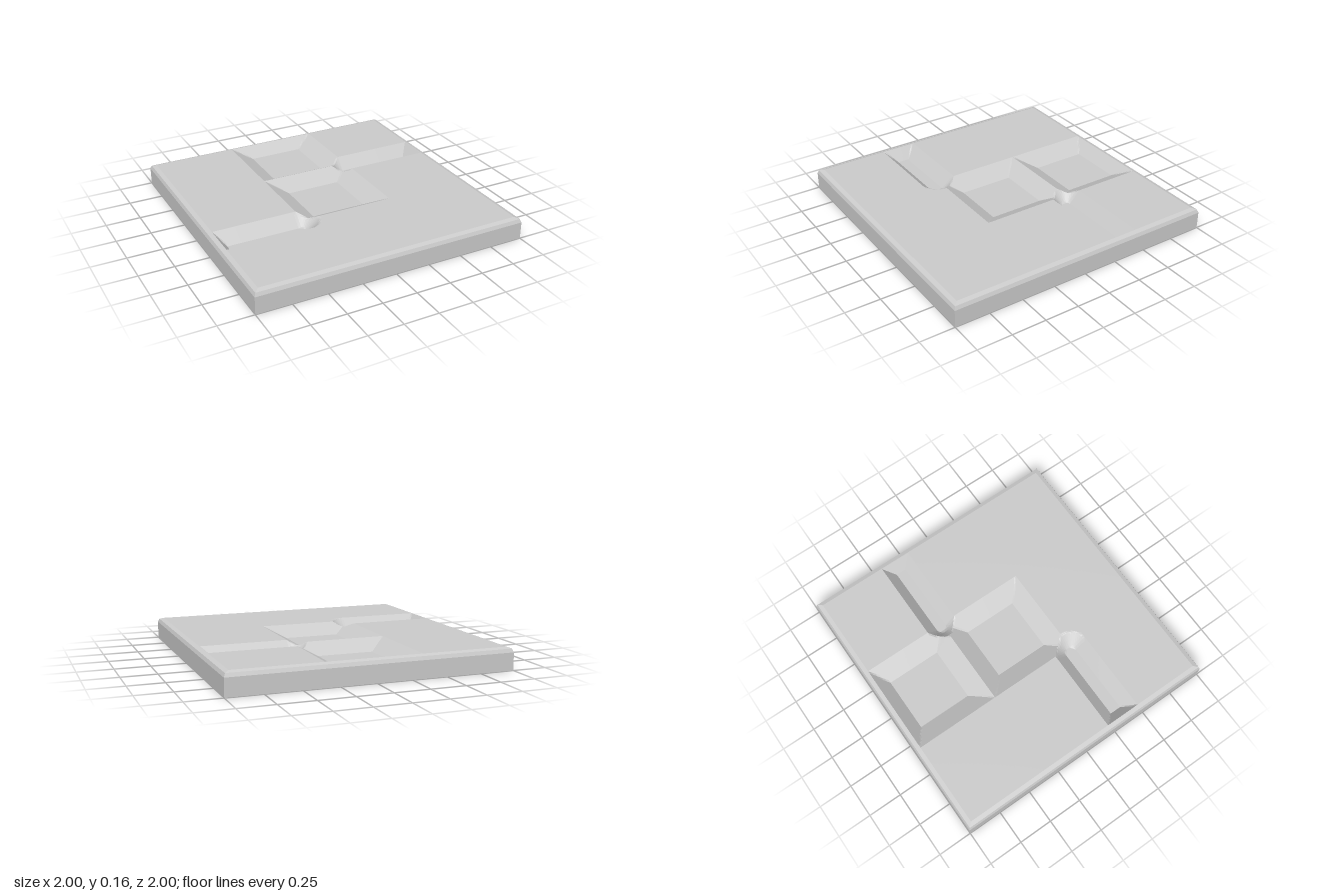
import * as THREE from 'three';

const TOP = 0.16, EDGE = 0.125;
const clamp01 = (t) => Math.min(1, Math.max(0, t));

// Rectangular pits with sloping walls: outer bounds and floor bounds
const pits = [
  { x: [-0.34, -0.2, 0.2, 0.34], z: [-0.96, -0.87, -0.47, -0.33], depth: 0.075 },
  { x: [-0.34, -0.2, 0.2, 0.34], z: [-0.33, -0.2, 0.2, 0.33], depth: 0.075 },
];
// Side trenches: square outer end, rounded inner end
const trenches = [
  { side: 1, z: -0.335, half: 0.115, floor: 0.037, nose: 0.345, end: [0.89, 0.955], depth: 0.085 },
  { side: -1, z: 0.33, half: 0.13, floor: 0.042, nose: 0.36, end: [0.89, 0.96], depth: 0.085 },
];

// 0 outside the bounds, 1 over the floor, linear on the walls
const ramp = (v, [a, b, c, d]) => clamp01(Math.min((v - a) / (b - a), (d - v) / (d - c)));

// Rounded rim height by distance from the slab edge
function rim(d) {
  if (d < 0.01) return EDGE + (d / 0.01) * 0.025;
  return Math.min(TOP, 0.15 + ((d - 0.01) / 0.03) * 0.01);
}

function height(x, z) {
  let y = rim(Math.max(0, 1 - Math.max(Math.abs(x), Math.abs(z))));
  for (const p of pits) {
    y = Math.min(y, TOP - p.depth * Math.min(ramp(x, p.x), ramp(z, p.z)));
  }
  for (const t of trenches) {
    const u = x * t.side;
    const r = Math.hypot(Math.min(0, u - t.nose), z - t.z);
    const wall = (t.half - r) / (t.half - t.floor);
    const end = (t.end[1] - u) / (t.end[1] - t.end[0]);
    y = Math.min(y, TOP - t.depth * clamp01(Math.min(wall, end)));
  }
  return y;
}

// Grid lines through every crease, with finer steps between
function gridLines(keys, step) {
  const sorted = [...new Set(keys)].sort((a, b) => a - b);
  const out = [sorted[0]];
  for (let i = 1; i < sorted.length; i++) {
    const a = sorted[i - 1], b = sorted[i];
    const n = Math.max(1, Math.ceil((b - a) / step - 1e-6));
    for (let k = 1; k <= n; k++) out.push(a + ((b - a) * k) / n);
  }
  return out;
}

function reliefGeometry() {
  const border = [-1, -0.99, -0.96, 0.96, 0.99, 1];
  const xs = gridLines([...border, ...pits[0].x,
    ...trenches.flatMap((t) => [t.nose, ...t.end].map((v) => v * t.side))], 0.02);
  const zs = gridLines([...border, ...pits.flatMap((p) => p.z),
    ...trenches.flatMap((t) => [-t.half, -t.floor, t.floor, t.half].map((v) => t.z + v))], 0.02);
  const pos = [];
  const tri = (...pts) => pts.forEach((p) => pos.push(...p));
  for (let i = 0; i < xs.length - 1; i++) {
    for (let j = 0; j < zs.length - 1; j++) {
      const [a, b, c, d] = [[i, j], [i, j + 1], [i + 1, j + 1], [i + 1, j]]
        .map(([m, n]) => [xs[m], height(xs[m], zs[n]), zs[n]]);
      // Split each cell along the diagonal that follows the crease
      const mid = height((a[0] + c[0]) / 2, (a[2] + c[2]) / 2);
      if (Math.abs((a[1] + c[1]) / 2 - mid) <= Math.abs((b[1] + d[1]) / 2 - mid)) {
        tri(a, b, c); tri(a, c, d);
      } else {
        tri(a, b, d); tri(b, c, d);
      }
    }
  }
  const g = new THREE.BufferGeometry();
  g.setAttribute('position', new THREE.Float32BufferAttribute(pos, 3));
  g.computeVertexNormals();
  return g;
}

export function createModel() {
  const group = new THREE.Group();
  group.name = 'groovedTile';
  const material = new THREE.MeshStandardMaterial({ color: 0xcccccc, flatShading: true });
  const add = (name, geometry) => {
    const mesh = new THREE.Mesh(geometry, material);
    mesh.name = name;
    group.add(mesh);
  };

  // Carved top face with bevelled rim
  add('carvedTop', reliefGeometry());

  // Four upright sides
  const sides = new THREE.CylinderGeometry(Math.SQRT2, Math.SQRT2, EDGE, 4, 1, true);
  add('sides', sides.rotateY(Math.PI / 4).translate(0, EDGE / 2, 0));

  // Flat underside
  add('underside', new THREE.PlaneGeometry(2, 2).rotateX(Math.PI / 2));

  return group;
}
